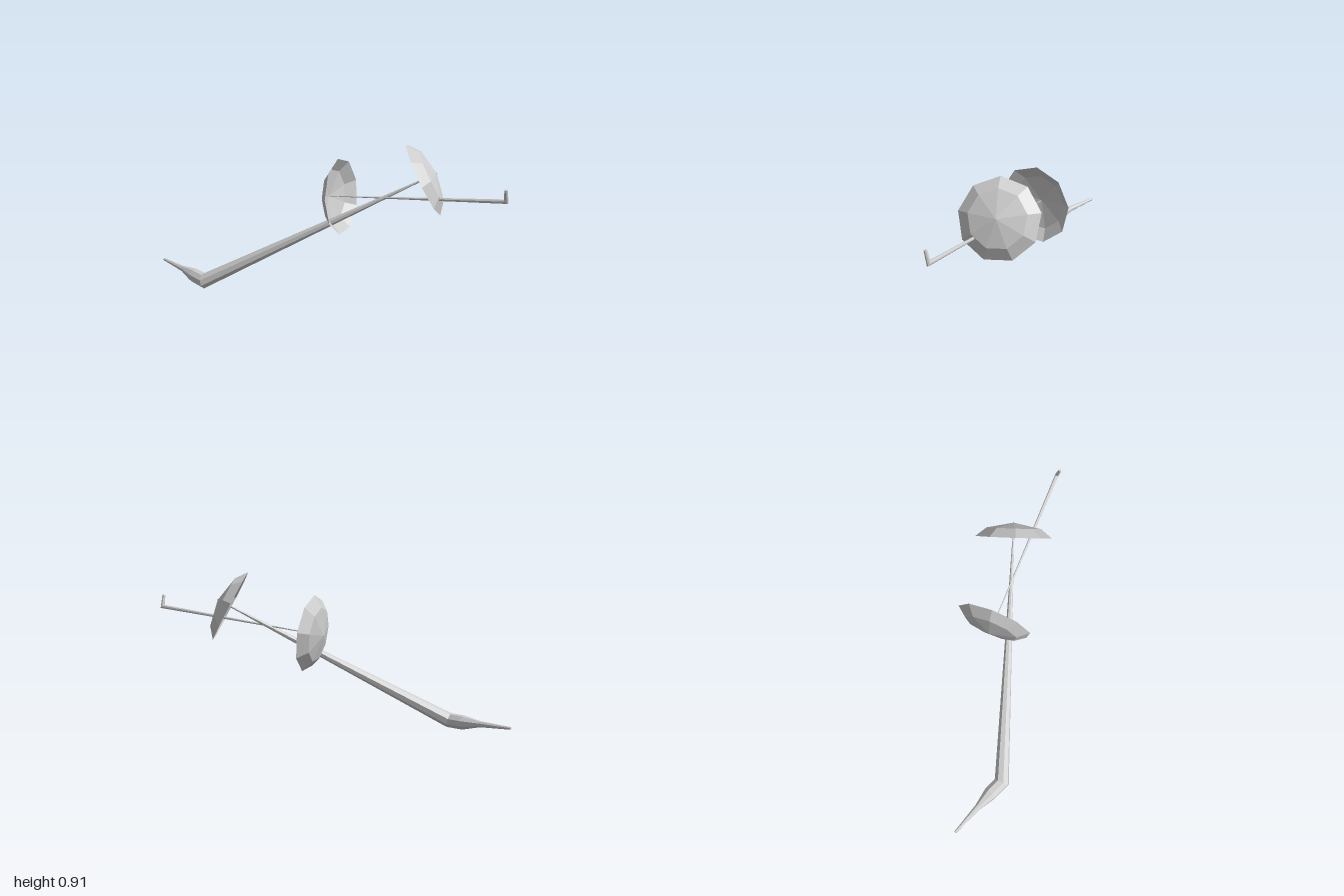
import * as THREE from 'three';

const V = (x, y, z) => new THREE.Vector3(x, y, z);
const SIDES = 8;
const material = new THREE.MeshStandardMaterial({ color: 0xcccccc, flatShading: true, side: THREE.DoubleSide });

// Faceted rod through [x, y, z, radius] stations, mitred at each bend
function rod(name, stations) {
  const pts = stations.map(s => V(s[0], s[1], s[2]));
  const last = pts.length - 1;
  const dirs = pts.slice(1).map((p, i) => p.clone().sub(pts[i]).normalize());
  const u = V(0, 1, 0).addScaledVector(dirs[0], -dirs[0].y).normalize();
  const v = dirs[0].clone().cross(u);
  let offsets = Array.from({ length: SIDES }, (_, i) => {
    const a = (i + 0.5) / SIDES * Math.PI * 2;
    return u.clone().multiplyScalar(Math.cos(a)).addScaledVector(v, Math.sin(a));
  });
  const position = [], index = [];
  pts.forEach((p, k) => {
    const before = dirs[Math.max(k - 1, 0)], after = dirs[Math.min(k, last - 1)];
    const normal = before.clone().add(after).normalize();
    offsets = offsets.map(o => {
      const m = o.clone().addScaledVector(before, -o.dot(normal) / before.dot(normal));
      position.push(...p.clone().addScaledVector(m, stations[k][3]).toArray());
      return m.addScaledVector(after, -m.dot(after));
    });
  });
  for (let k = 0; k < last; k++) {
    for (let i = 0; i < SIDES; i++) {
      const a = k * SIDES + i, b = k * SIDES + (i + 1) % SIDES;
      index.push(a, b, b + SIDES, a, b + SIDES, a + SIDES);
    }
  }
  // End caps
  for (let i = 1; i < SIDES - 1; i++) {
    const e = last * SIDES;
    index.push(0, i + 1, i, e, e + i, e + i + 1);
  }
  const geometry = new THREE.BufferGeometry();
  geometry.setAttribute('position', new THREE.Float32BufferAttribute(position, 3));
  geometry.setIndex(index);
  geometry.computeVertexNormals();
  const mesh = new THREE.Mesh(geometry, material);
  mesh.name = name;
  return mesh;
}

// Nine-sided open dome; axis points to the apex, corner fixes one rim corner
function canopy(name, rimCentre, axis, corner) {
  const profile = [[0.222, 0], [0.158, 0.05], [0, 0.082]].map(p => new THREE.Vector2(...p));
  const mesh = new THREE.Mesh(new THREE.LatheGeometry(profile, 9), material);
  const y = axis.clone().normalize();
  const z = corner.clone().addScaledVector(y, -corner.dot(y)).normalize();
  mesh.quaternion.setFromRotationMatrix(new THREE.Matrix4().makeBasis(y.clone().cross(z), y, z));
  mesh.position.copy(rimCentre);
  mesh.name = name;
  return mesh;
}

export function createModel() {
  const model = new THREE.Group();
  model.name = 'crossedParasols';

  // Large parasol with a thick, bent handle
  const large = new THREE.Group();
  large.name = 'largeParasol';
  large.add(
    rod('largeHandleAndPole', [
      [-1, 0.065, 0.355, 0.008], [-0.81, 0.056, 0.377, 0.018], [-0.7, 0.046, 0.391, 0.042],
      [-0.6, 0.043, 0.408, 0.043], [0.555, 0.757, -0.295, 0.003],
    ]),
    canopy('largeCanopy', V(0.49, 0.717, -0.256), V(0.75, 0.47, -0.47), V(-0.081, 0.198, 0.068)),
  );

  // Slender parasol with a short hook
  const slender = new THREE.Group();
  slender.name = 'slenderParasol';
  slender.add(
    rod('slenderHookAndPole', [
      [0.99, 0.75, -0.265, 0.009], [0.988, 0.682, -0.281, 0.012], [-0.025, 0.566, -0.068, 0.002],
    ]),
    canopy('slenderCanopy', V(0.05, 0.575, -0.086), V(-0.97, -0.113, 0.205), V(0.041, 0.04, 0.215)),
  );

  model.add(large, slender);
  return model;
}
